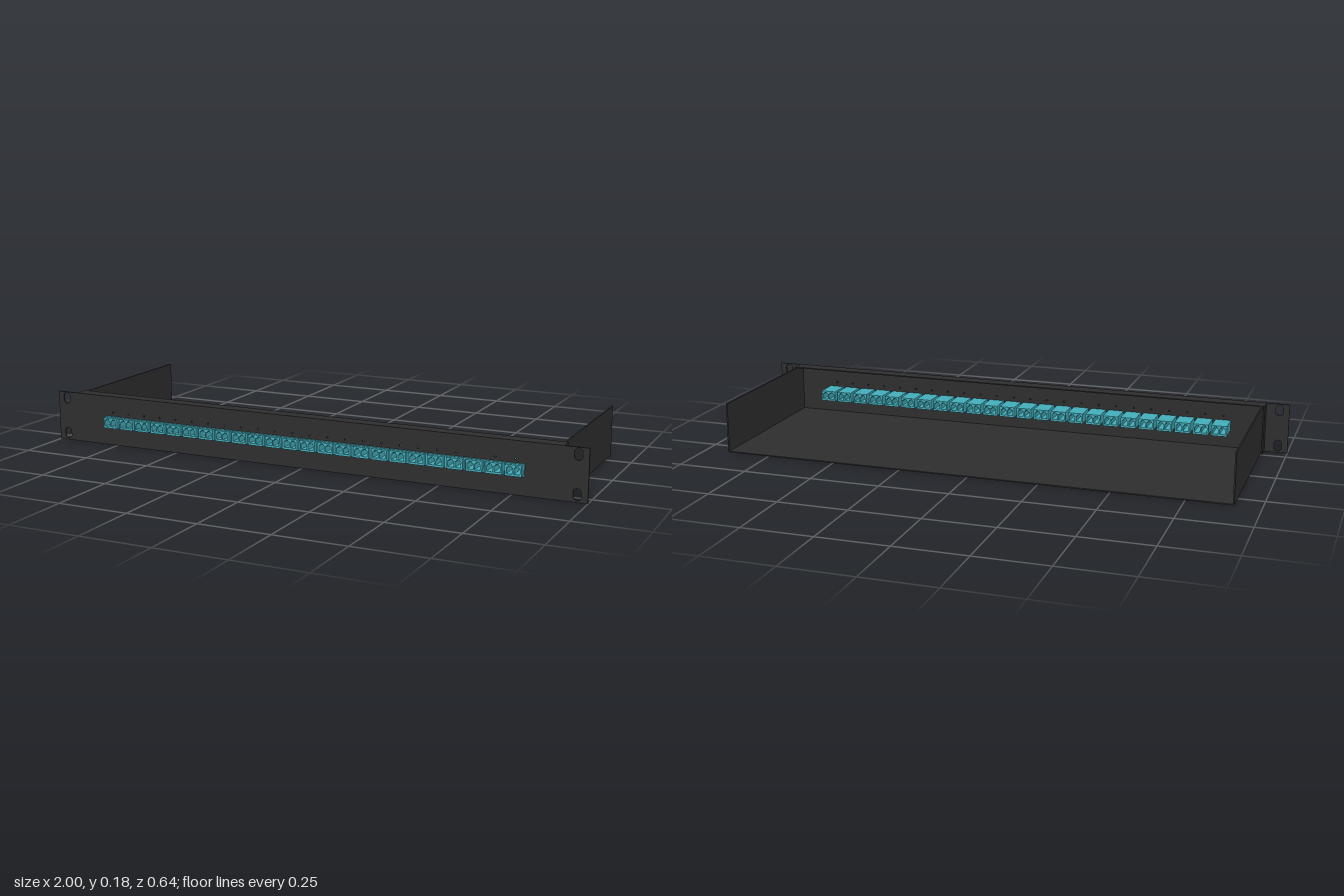
import * as THREE from 'three';

const COUNT = 24, PITCH = 0.0663, CENTRE_X = -0.003, PORT_Y = 0.085;
const HEIGHT = 0.18;

// Closed rectangle outline, usable as a shape or a hole
function rect(path, cx, cy, w, h) {
  path.moveTo(cx - w / 2, cy - h / 2);
  path.lineTo(cx + w / 2, cy - h / 2);
  path.lineTo(cx + w / 2, cy + h / 2);
  path.lineTo(cx - w / 2, cy + h / 2);
  path.closePath();
  return path;
}

// Vertical slot with round ends
function slot(cx, cy, w, h) {
  const p = new THREE.Path(), r = w / 2, s = h / 2 - r;
  p.absarc(cx, cy + s, r, 0, Math.PI, false);
  p.absarc(cx, cy - s, r, Math.PI, Math.PI * 2, false);
  p.closePath();
  return p;
}

function extrude(shape, z0, z1) {
  const g = new THREE.ExtrudeGeometry(shape, { depth: z1 - z0, bevelEnabled: false, curveSegments: 8 });
  g.translate(0, 0, z0);
  return g;
}

export function createModel() {
  const steel = new THREE.MeshStandardMaterial({ color: 0x2e2e2e });
  steel.name = 'darkSteel';
  const teal = new THREE.MeshStandardMaterial({ color: 0x44aebb });
  teal.name = 'tealPlastic';

  const model = new THREE.Group();
  model.name = 'patchPanel';
  const add = (parent, name, geometry, material) => {
    const mesh = new THREE.Mesh(geometry, material);
    mesh.name = name;
    parent.add(mesh);
    return mesh;
  };
  const box = (parent, name, w, h, d, x, y, z) =>
    add(parent, name, new THREE.BoxGeometry(w, h, d), steel).position.set(x, y, z);

  const portX = Array.from({ length: COUNT }, (_, i) => CENTRE_X + (i - (COUNT - 1) / 2) * PITCH);

  // Front plate with rack slots, port windows and index pinholes
  const plate = rect(new THREE.Shape(), 0, HEIGHT / 2, 2, HEIGHT);
  for (const x of [-0.965, 0.965])
    for (const y of [0.026, 0.157]) plate.holes.push(slot(x, y, 0.027, 0.04));
  for (const x of portX) {
    plate.holes.push(rect(new THREE.Path(), x, PORT_Y, 0.054, 0.036));
    plate.holes.push(rect(new THREE.Path(), x, 0.12, 0.005, 0.005));
  }
  add(model, 'frontPlate', extrude(plate, 0.297, 0.303), steel);

  // Folded lips behind the front plate
  box(model, 'topLip', 1.836, 0.004, 0.045, 0, HEIGHT - 0.002, 0.2755);
  for (const s of [-1, 1])
    box(model, s > 0 ? 'leftLip' : 'rightLip', 0.005, HEIGHT - 0.002, 0.045, s * 0.9155, HEIGHT / 2, 0.2755);

  // Open tray: floor and two side walls
  const tray = new THREE.Group();
  tray.name = 'tray';
  model.add(tray);
  box(tray, 'floor', 1.82, 0.004, 0.617, 0, 0.002, -0.0115);
  for (const s of [-1, 1])
    box(tray, s > 0 ? 'leftWall' : 'rightWall', 0.005, HEIGHT - 0.004, 0.617, s * 0.9075, HEIGHT / 2 + 0.002, -0.0115);

  // Duplex coupler: body and flange pierced by two keyed openings
  const coupler = (w, h) => {
    const shape = rect(new THREE.Shape(), 0, 0, w, h);
    for (const s of [-1, 1]) {
      const p = new THREE.Path();
      const pts = [[-0.01, -0.012], [0.01, -0.012], [0.01, 0.008], [0.005, 0.008],
        [0.005, 0.014], [-0.005, 0.014], [-0.005, 0.008], [-0.01, 0.008]];
      p.setFromPoints(pts.map(([x, y]) => new THREE.Vector2(x + s * 0.0125, y)));
      p.closePath();
      shape.holes.push(p);
    }
    return shape;
  };
  const bodyGeo = extrude(coupler(0.056, 0.038), 0.213, 0.322);
  const flangeGeo = extrude(coupler(0.065, 0.043), 0.303, 0.308);
  portX.forEach((x, i) => {
    const port = new THREE.Group();
    port.name = 'coupler' + (i + 1);
    port.position.set(x, PORT_Y, 0);
    add(port, 'couplerBody', bodyGeo, teal);
    add(port, 'couplerFlange', flangeGeo, teal);
    model.add(port);
  });

  return model;
}
